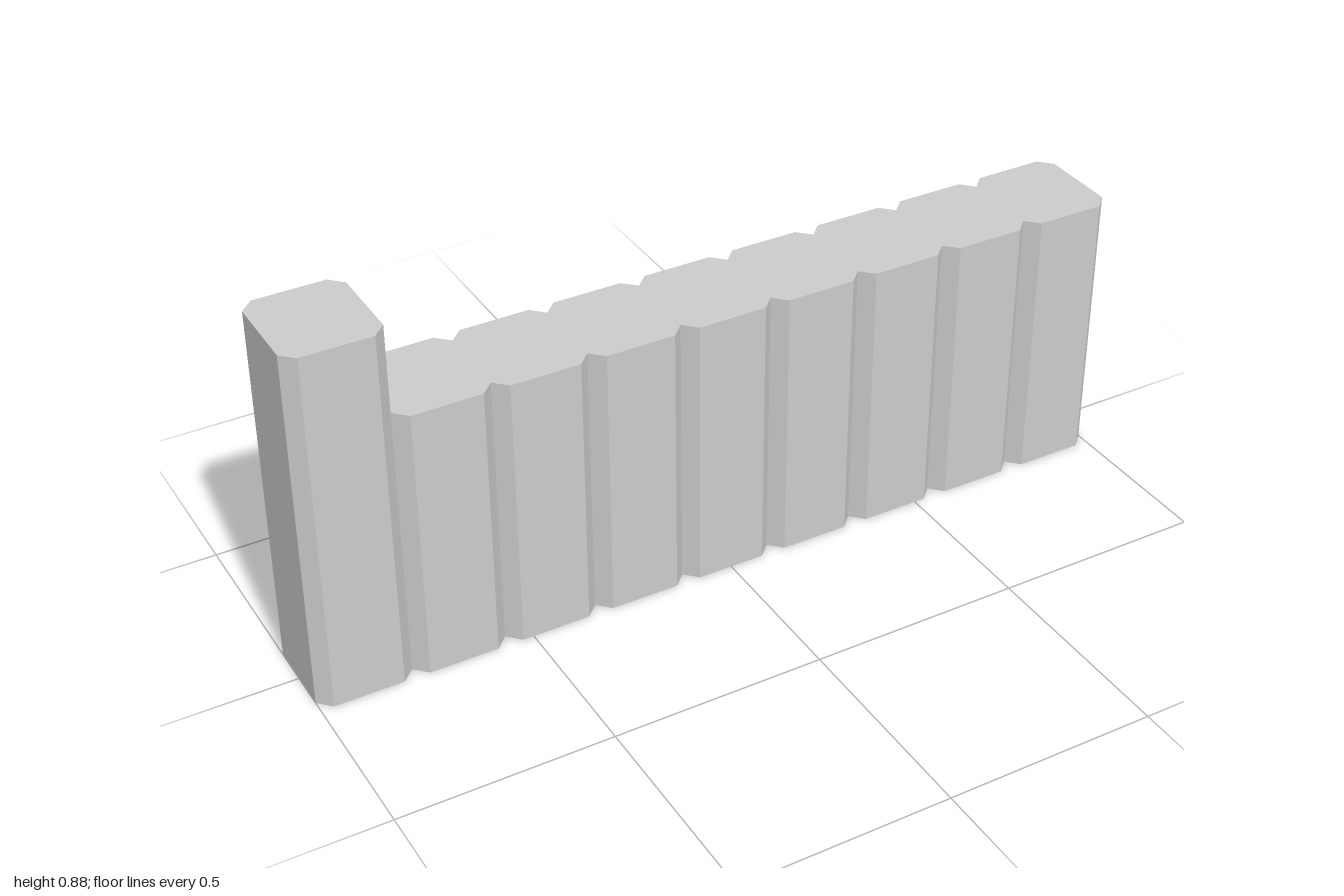
import * as THREE from 'three';

const COUNT = 9;            // equal segments along the length
const W = 2 / COUNT;        // segment width
const D = 0.122;            // half depth
const C = 0.03;             // corner chamfer

// Upright prism of n chamfered segments in a row, starting at x0
function segmentRow(name, x0, n, height, material) {
  const front = [];
  for (let i = 0; i < n; i++) {
    const a = x0 + i * W, b = a + W;
    front.push([a, D - C], [a + C, D], [b - C, D]);
  }
  front.push([x0 + n * W, D - C]);
  const back = front.map(([x, z]) => [x, -z]).reverse();
  const shape = new THREE.Shape([...front, ...back].map(([x, z]) => new THREE.Vector2(x, z)));
  const geometry = new THREE.ExtrudeGeometry(shape, { depth: height, bevelEnabled: false });
  geometry.rotateX(-Math.PI / 2);
  const mesh = new THREE.Mesh(geometry, material);
  mesh.name = name;
  return mesh;
}

export function createModel() {
  const group = new THREE.Group();
  group.name = 'palisadeWall';
  const material = new THREE.MeshStandardMaterial({ color: 0xcccccc, flatShading: true });

  // Tall end post and the lower grooved wall beside it
  group.add(segmentRow('endPost', -1, 1, 0.875, material));
  group.add(segmentRow('groovedWall', -1 + W, COUNT - 1, 0.666, material));
  return group;
}
